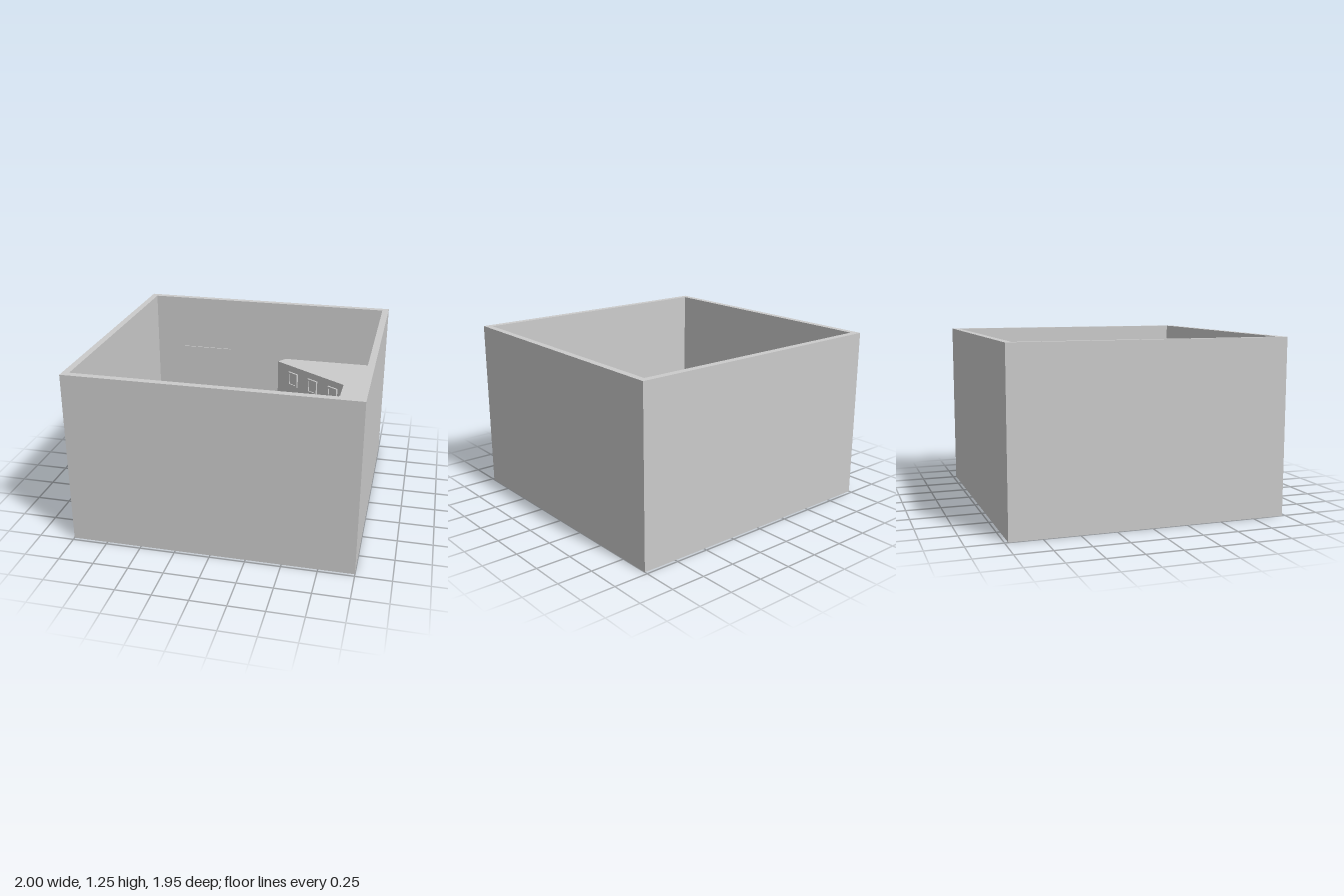
import * as THREE from 'three';

const mat = new THREE.MeshStandardMaterial({ color: 0xcccccc, flatShading: true });

// Box centred in x, standing between y0 and y1, from depth z0 to z1
function box(parent, name, x, w, y0, y1, z0, z1) {
  const m = new THREE.Mesh(new THREE.BoxGeometry(w, y1 - y0, z1 - z0), mat);
  m.position.set(x, (y0 + y1) / 2, (z0 + z1) / 2);
  m.name = name;
  parent.add(m);
}

// Upright prism from a plan outline of [x, z] points, with an optional opening
function prism(parent, name, outline, y0, y1, opening) {
  const pts = (list) => list.map(([x, z]) => new THREE.Vector2(x, -z));
  const shape = new THREE.Shape(pts(outline));
  if (opening) shape.holes.push(new THREE.Path(pts(opening)));
  const geo = new THREE.ExtrudeGeometry(shape, { depth: y1 - y0, bevelEnabled: false });
  geo.rotateX(-Math.PI / 2).translate(0, y0, 0);
  const m = new THREE.Mesh(geo, mat);
  m.name = name;
  parent.add(m);
}

// Counter-clockwise plan rectangle
const rect = (x, z) => [[-x, z], [x, z], [x, -z], [-x, -z]];

// Framed panel: four thin bars around a pane
function framedPanel(parent, x, y0, y1, w, d) {
  const g = new THREE.Group();
  g.name = 'framedPanel';
  const b = 0.014;
  box(g, 'pane', x, w - b, y0 + b / 2, y1 - b / 2, 0, d * 0.4);
  for (const y of [y0, y1 - b]) box(g, 'frameRail', x, w, y, y + b, 0, d);
  for (const s of [-1, 1]) box(g, 'frameStile', x + s * (w - b) / 2, b, y0 + b, y1 - b, 0, d);
  parent.add(g);
  return g;
}

// Framed panel with a projecting handle
function handledPanel(parent, x, y0, reach) {
  const g = framedPanel(parent, x, y0, y0 + 0.12, 0.1, 0.018);
  g.name = 'handledPanel';
  box(g, 'handleStem', x, 0.036, y0 + 0.03, y0 + 0.055, 0, reach);
  box(g, 'handleGrip', x, 0.022, y0 + 0.055, y0 + 0.065, reach - 0.026, reach - 0.006);
  return g;
}

// Group on a face of the console: local z is the face's outward normal
function faceGroup(parent, name, x, z, nx, nz) {
  const g = new THREE.Group();
  g.name = name;
  g.position.set(x, 0, z);
  g.rotation.y = Math.atan2(nx, nz);
  parent.add(g);
  return g;
}

export function createModel() {
  const model = new THREE.Group();
  model.name = 'room';
  const floorY = 0.01;

  // Room shell
  box(model, 'floor', 0, 2, 0, floorY, -0.976, 0.976);
  prism(model, 'walls', rect(1, 0.976), floorY, 1.25, rect(0.952, 0.926));

  // Door on the back wall and low platform in the front corner
  box(model, 'door', -0.52, 0.415, floorY, 0.82, -0.926, -0.917);
  box(model, 'platform', -0.614, 0.676, floorY, 0.3, 0.494, 0.926);

  // Three-sided console along the +x wall
  prism(model, 'console', [
    [0.17, -0.926], [0.12, -0.85], [0.718, -0.45], [0.718, 0.46],
    [0.13, 0.87], [0.17, 0.926], [0.952, 0.926], [0.952, -0.926],
  ], floorY, 0.77);

  // Angled faces: columns of panels counted from the inner corners
  const front = faceGroup(model, 'frontAngledFace', 0.718, 0.46, -0.572, -0.82);
  const back = faceGroup(model, 'backAngledFace', 0.718, -0.45, -0.556, 0.831);
  [0.12, 0.335, 0.55].forEach((t, i) => {
    const y = i === 0 ? 0.28 : 0.33;
    framedPanel(front, t, 0.6, 0.717, 0.097, 0.012);
    handledPanel(front, t, y, 0.075);
    framedPanel(back, 0.012 - t, 0.6, 0.717, 0.097, 0.015);
    if (i > 0) handledPanel(back, 0.012 - t, y, 0.078);
    else framedPanel(back, 0.012 - t, y, y + 0.12, 0.09, 0.025);
  });

  // Straight middle face: four columns, two with short stepped handles
  const mid = faceGroup(model, 'middleFace', 0.718, 0, -1, 0);
  [-0.305, -0.085, 0.14, 0.345].forEach((z, i) => {
    framedPanel(mid, z, 0.6, 0.717, 0.1, 0.018);
    const panel = handledPanel(mid, z, 0.33, i < 2 ? 0.082 : 0.05);
    if (i > 1) box(panel, 'handleBase', z, 0.06, 0.35, 0.395, 0, 0.034);
  });
  box(mid, 'backingPlate', 0.14, 0.17, 0.31, 0.47, 0, 0.006);

  return model;
}
